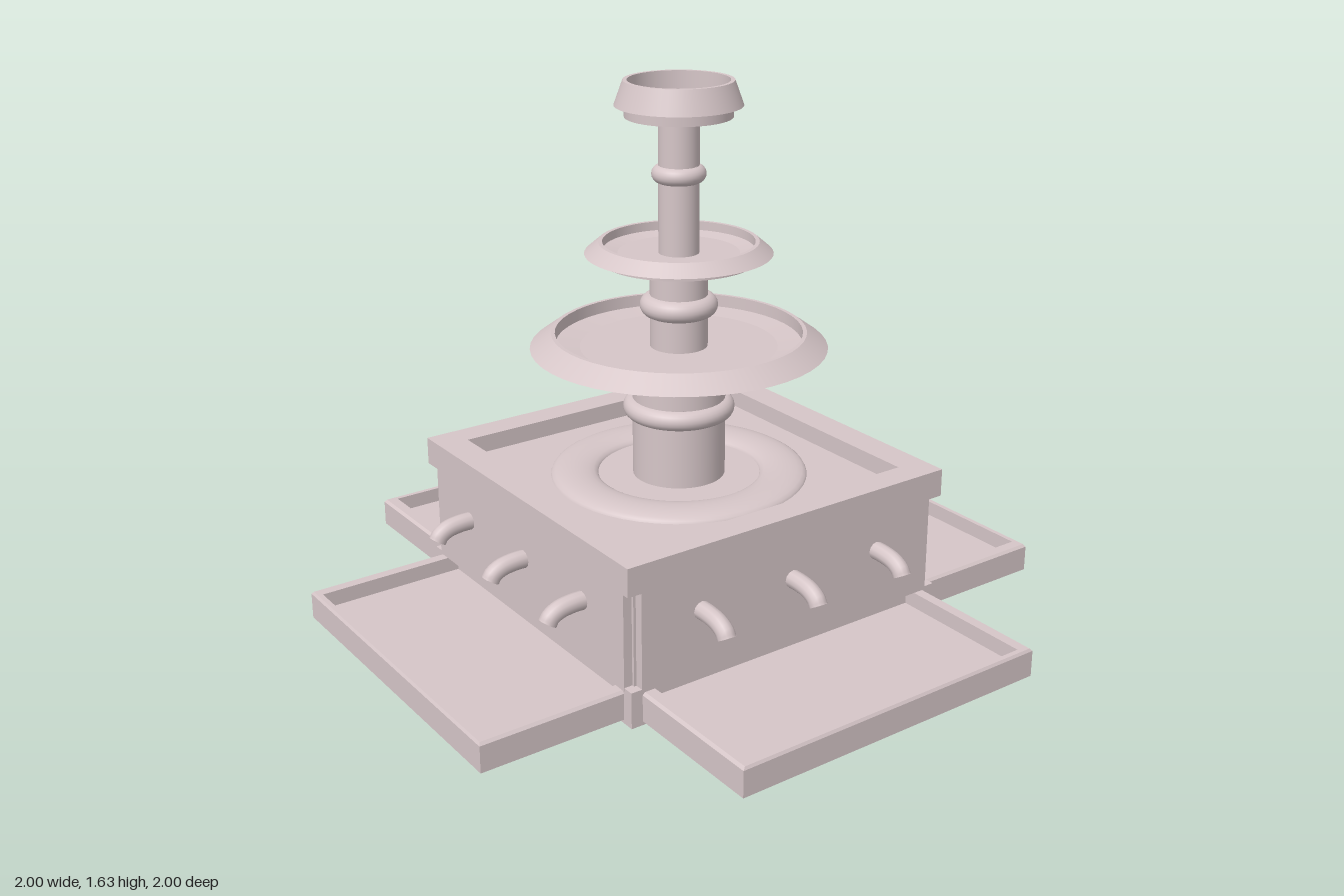
import * as THREE from 'three';

const material = new THREE.MeshStandardMaterial({ color: 0xd6c6c8, side: THREE.DoubleSide });

function add(parent, name, geometry, x = 0, y = 0, z = 0) {
  const mesh = new THREE.Mesh(geometry, material);
  mesh.name = name;
  mesh.position.set(x, y, z);
  parent.add(mesh);
  return mesh;
}

const box = (w, h, d) => new THREE.BoxGeometry(w, h, d);

// Lathe with sharp edges: every profile segment is its own smooth band
function turned(parent, name, points, y = 0) {
  const group = new THREE.Group();
  group.name = name;
  for (let i = 0; i < points.length - 1; i++) {
    const pair = [points[i], points[i + 1]].map(p => new THREE.Vector2(p[0], p[1]));
    add(group, name + 'Band', new THREE.LatheGeometry(pair, 48));
  }
  group.position.y = y;
  parent.add(group);
}

// Flat rectangular frame lying in the xz plane, rising from y = 0
function frame(w, d, innerW, innerD, height) {
  const rect = (Type, a, b) => {
    const p = new Type();
    p.moveTo(-a / 2, -b / 2);
    p.lineTo(a / 2, -b / 2);
    p.lineTo(a / 2, b / 2);
    p.lineTo(-a / 2, b / 2);
    p.closePath();
    return p;
  };
  const shape = rect(THREE.Shape, w, d);
  shape.holes.push(rect(THREE.Path, innerW, innerD));
  const geometry = new THREE.ExtrudeGeometry(shape, { depth: height, bevelEnabled: false });
  return geometry.rotateX(-Math.PI / 2);
}

// Curved spout reaching out along +z, closed at its mouth
function addSpout(parent, x) {
  const spout = new THREE.Group();
  spout.name = 'spout';
  const path = new THREE.CatmullRomCurve3([
    [0.54, 0.289], [0.59, 0.289], [0.632, 0.282], [0.658, 0.267], [0.667, 0.252],
  ].map(([z, y]) => new THREE.Vector3(0, y, z)));
  add(spout, 'spoutPipe', new THREE.TubeGeometry(path, 16, 0.027, 12));
  const mouth = add(spout, 'spoutMouth', new THREE.CircleGeometry(0.027, 12), 0, 0.252, 0.667);
  mouth.rotation.x = Math.PI / 2 - 0.5;
  spout.position.x = x;
  parent.add(spout);
}

// One side of the base: wall panel, three spouts and the tray below
function addSide(parent, angle) {
  const side = new THREE.Group();
  side.name = 'baseSide';
  add(side, 'wallPanel', box(1.04, 0.31, 0.06), 0, 0.255, 0.525);
  for (const x of [-0.32, 0, 0.315]) addSpout(side, x);

  // tray: floor slab, rim and a thin bevelled cap on the rim
  add(side, 'trayFloor', box(1.0, 0.04, 0.5), 0, 0.032, 0.74);
  add(side, 'trayRim', frame(1.036, 0.5, 0.955, 0.46, 0.08), 0, 0.012, 0.75);
  const cap = frame(1.036, 0.5, 0.955, 0.46, 0.008);
  const pos = cap.attributes.position;
  for (let i = 0; i < pos.count; i++) {
    if (pos.getY(i) > 0.004 && Math.abs(pos.getX(i)) > 0.5) {
      pos.setX(i, pos.getX(i) * 0.985);
      pos.setZ(i, pos.getZ(i) * 0.98);
    }
  }
  cap.computeVertexNormals();
  add(side, 'trayRimBevel', cap, 0, 0.092, 0.75);
  side.rotation.y = angle;
  parent.add(side);
}

// Dish with a stepped foot, flared flange and a sunken bowl
function addDish(parent, name, y0, y1, y2, footR, flangeR, lipR) {
  const inner = lipR - 0.012;
  turned(parent, name, [
    [0, y0], [footR, y0], [footR, y1], [flangeR, y1], [lipR, y2],
    [inner, y2], [inner, y1 + 0.008], [inner * 0.8, y1], [0, y1],
  ]);
}

// Round column with a rounded collar
function addColumn(parent, name, radius, y0, y1, collarY, collarR, collarH) {
  const column = new THREE.CylinderGeometry(radius, radius, y1 - y0, 40);
  add(parent, name, column, 0, (y0 + y1) / 2, 0);
  const half = collarH / 2;
  const profile = [new THREE.Vector2(radius, -half)];
  for (let i = 0; i <= 10; i++) {
    const a = -Math.PI / 2 + (i / 10) * Math.PI;
    profile.push(new THREE.Vector2(collarR - half + half * Math.cos(a), half * Math.sin(a)));
  }
  profile.push(new THREE.Vector2(radius, half));
  add(parent, name + 'Collar', new THREE.LatheGeometry(profile, 48), 0, collarY, 0);
}

export function createModel() {
  const model = new THREE.Group();
  model.name = 'fountain';

  // base: core, four sides with trays, corner posts
  add(model, 'baseCore', box(1.04, 0.4, 1.04), 0, 0.2, 0);
  for (let i = 0; i < 4; i++) addSide(model, (i * Math.PI) / 2);
  for (const sx of [-1, 1]) {
    for (const sz of [-1, 1]) {
      add(model, 'cornerPost', box(0.05, 0.4, 0.05), sx * 0.503, 0.2, sz * 0.503);
      add(model, 'cornerFoot', box(0.055, 0.11, 0.055), sx * 0.527, 0.055, sz * 0.527);
    }
  }

  // upper basin: square rim, floor and a rounded ring around the column
  add(model, 'basinRim', frame(1.115, 1.13, 0.94, 0.94, 0.085), 0, 0.4, 0);
  add(model, 'basinFloor', box(1.0, 0.03, 1.0), 0, 0.415, 0);
  const ring = [];
  for (let i = 0; i <= 10; i++) {
    const a = (i / 10) * Math.PI;
    ring.push(new THREE.Vector2(0.318 + 0.072 * Math.cos(a), 0.43 + 0.022 * Math.sin(a)));
  }
  add(model, 'basinRing', new THREE.LatheGeometry(ring, 48));

  // three tiers
  addColumn(model, 'lowerColumn', 0.14, 0.42, 0.82, 0.645, 0.168, 0.06);
  addDish(model, 'lowerDish', 0.812, 0.836, 0.882, 0.375, 0.443, 0.38);
  addColumn(model, 'middleColumn', 0.086, 0.83, 1.11, 0.963, 0.116, 0.064);
  addDish(model, 'middleDish', 1.102, 1.122, 1.157, 0.234, 0.277, 0.236);
  addColumn(model, 'upperColumn', 0.06, 1.115, 1.53, 1.357, 0.08, 0.052);
  addDish(model, 'topDish', 1.523, 1.556, 1.628, 0.157, 0.186, 0.16);
  return model;
}
